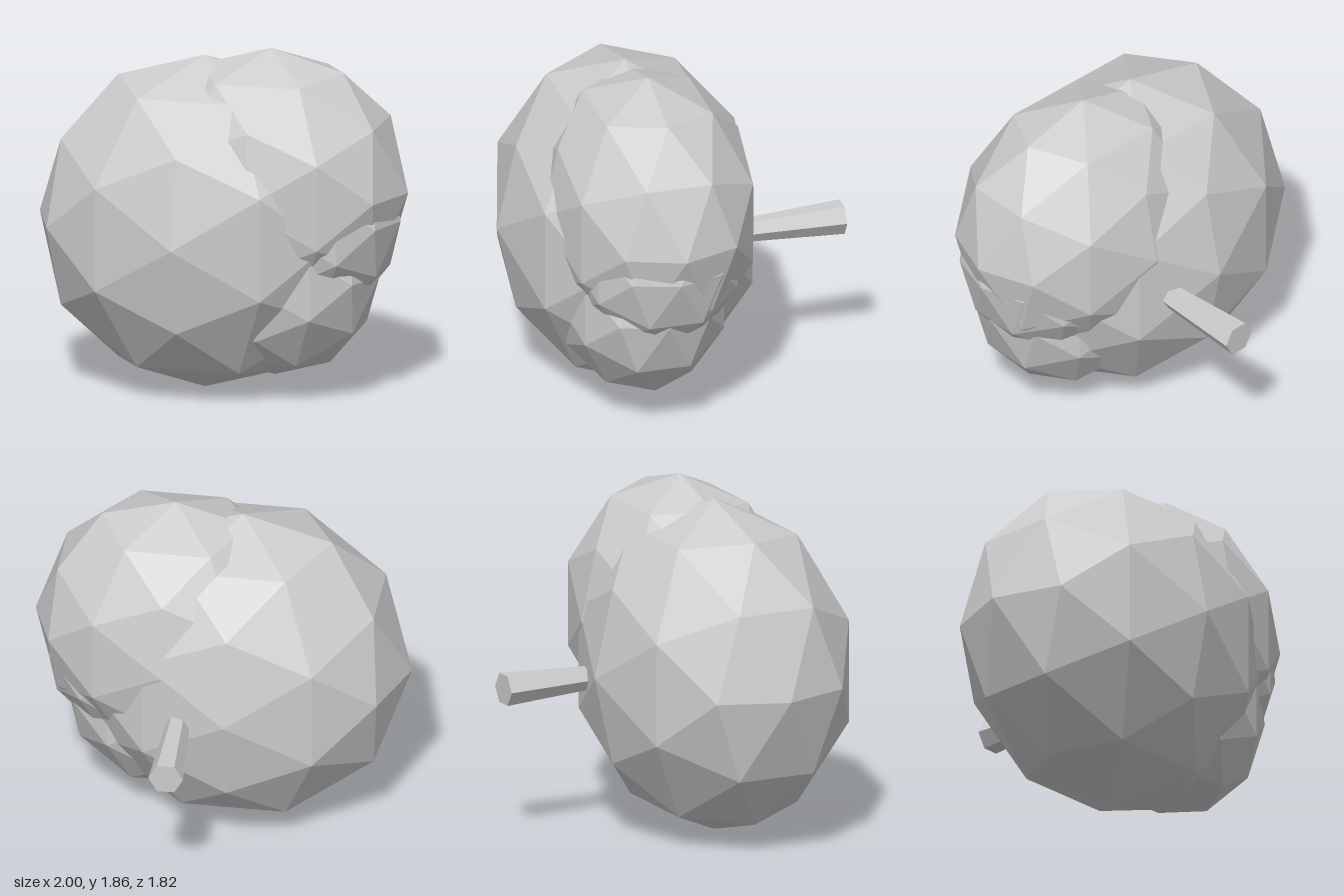
import * as THREE from 'three';

const grey = new THREE.MeshStandardMaterial({ color: 0xcccccc });
grey.name = 'pale grey';

// faceted ellipsoid clump
function clump(name, center, radii) {
  const g = new THREE.IcosahedronGeometry(1, 1);
  g.scale(...radii);
  g.computeVertexNormals(); // unshared corners give flat facets
  const mesh = new THREE.Mesh(g, grey);
  mesh.name = name;
  mesh.position.set(...center);
  return mesh;
}

export function createModel() {
  const model = new THREE.Group();
  model.name = 'foliage';

  // overlapping clumps
  model.add(
    clump('mainClump', [-0.1, 0.905, 0.202], [0.9, 0.9, 0.703]),
    clump('upperClump', [0.255, 1.12, 0.18], [0.745, 0.74, 0.58]),
    clump('lowerClump', [0.29, 0.675, 0.235], [0.57, 0.57, 0.47]),
    clump('sideClump', [0.465, 0.97, 0.2], [0.5, 0.55, 0.47])
  );

  // six-sided stem, flaring towards its back end
  const length = 0.92;
  let stem = new THREE.CylinderGeometry(0.092, 0.042, length, 6);
  stem.rotateY(Math.PI / 6);
  stem.rotateX(-Math.PI / 2);
  stem = stem.toNonIndexed();
  stem.computeVertexNormals();
  const stemMesh = new THREE.Mesh(stem, grey);
  stemMesh.name = 'stem';
  stemMesh.position.set(0.155, 0.842, -0.917 + length / 2);
  stemMesh.rotation.y = 0.025;
  model.add(stemMesh);

  return model;
}
